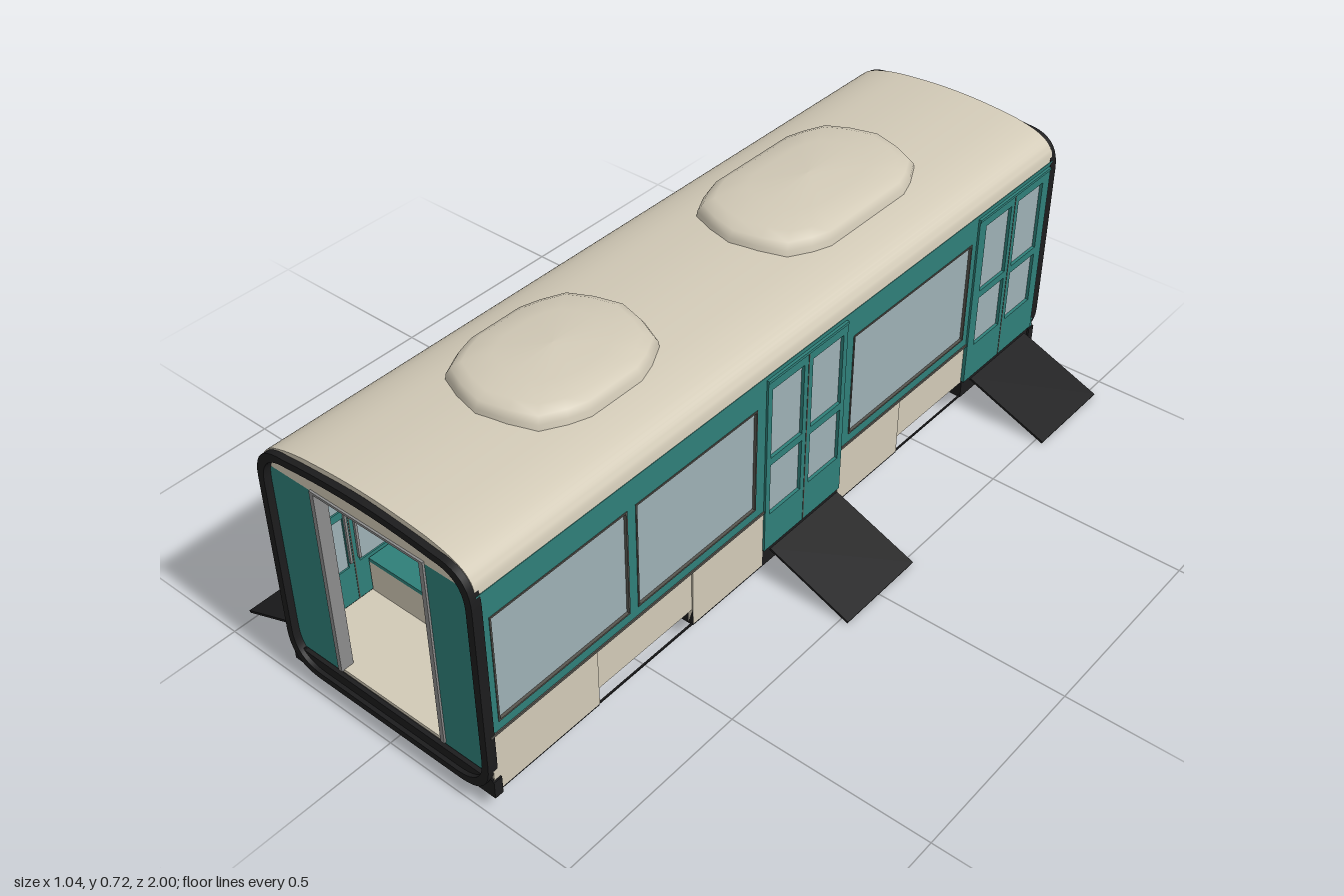
import * as THREE from 'three';
import { toCreasedNormals } from 'three/addons/utils/BufferGeometryUtils.js';

const mat = (color) => new THREE.MeshStandardMaterial({ color, side: THREE.DoubleSide });
const teal = mat(0x2f7f79), beige = mat(0xd2cab7), black = mat(0x1c1c1d), glass = mat(0x9db0b5), grey = mat(0x8c8c8c), dark = mat(0x57554f);
const boxMats = [beige, teal].map((m) => { const c = m.clone(); c.side = THREE.FrontSide; return c; });

function add(parent, name, geometry, material) {
  const mesh = new THREE.Mesh(geometry, material);
  mesh.name = name;
  parent.add(mesh);
  return mesh;
}

// Box given by its limits on each axis
function box(parent, name, material, x0, x1, y0, y1, z0, z1) {
  const mesh = add(parent, name, new THREE.BoxGeometry(x1 - x0, y1 - y0, z1 - z0), material);
  mesh.position.set((x0 + x1) / 2, (y0 + y1) / 2, (z0 + z1) / 2);
  return mesh;
}

// Box without its -z face
function openBox(parent, name, material, ...limits) {
  const mesh = box(parent, name, material, ...limits);
  mesh.geometry.setIndex(Array.from(mesh.geometry.index.array).slice(0, 30));
}

const poly = (points, Type = THREE.Shape) => new Type(points.map(([x, y]) => new THREE.Vector2(x, y)));
const rect = (a, b, c, d) => [[a, c], [b, c], [b, d], [a, d]];

function extrude(shape, depth) {
  const g = new THREE.ExtrudeGeometry(shape, { depth, bevelEnabled: false, curveSegments: 10 });
  return toCreasedNormals(g, 0.6);
}

// Panel in the side plane; outline and holes are given as [z, y]
function sidePanel(parent, name, material, outline, holes, x, depth) {
  const flip = (pts) => pts.map(([z, y]) => [-z, y]);
  const shape = poly(flip(outline));
  shape.holes = holes.map((h) => poly(flip(h), THREE.Path));
  const mesh = add(parent, name, extrude(shape, depth), material);
  mesh.rotation.y = Math.PI / 2;
  mesh.position.x = x;
}

// Smooth roof arch from the left eave to the right eave
function arch(inset) {
  const half = [[0.293, 0.59], [0.286, 0.62], [0.262, 0.645], [0.2, 0.666], [0.1, 0.678]];
  const pts = [...half, [0, 0.682], ...half.map(([x, y]) => [-x, y]).reverse()];
  const curve = new THREE.CatmullRomCurve3(pts.map(([x, y]) =>
    new THREE.Vector3(x - Math.sign(x) * inset, y > 0.6 ? y - inset : y, 0)));
  return curve.getPoints(40).map((p) => [p.x, p.y]);
}

// Rounded end outline with a slightly bowed top
function endOutline(Type, inset) {
  const w = 0.296 - inset, b = 0.055 + inset, t = 0.655 - inset, r = 0.09 - inset / 2;
  const s = new Type();
  s.moveTo(-w + r, b);
  s.lineTo(w - r, b);
  s.quadraticCurveTo(w, b, w, b + r);
  s.lineTo(w, t - r);
  s.quadraticCurveTo(w, t, w - r, t);
  s.quadraticCurveTo(0, t + 0.026, -w + r, t);
  s.quadraticCurveTo(-w, t, -w, t - r);
  s.lineTo(-w, b + r);
  s.quadraticCurveTo(-w, b, -w + r, b);
  return s;
}

// Domed roof pod from shrinking rings
function pod(parent, z0, z1) {
  const len = (z1 - z0) / 2, pos = [], index = [];
  const quarter = [[0, len], [0.07, len - 0.018], [0.13, len - 0.045], [0.158, len - 0.1], [0.174, len - 0.15]];
  const outline = [
    ...quarter, ...quarter.map(([x, z]) => [x, -z]).reverse(),
    ...quarter.slice(1).map(([x, z]) => [-x, -z]), ...quarter.slice(1).map(([x, z]) => [-x, z]).reverse(),
  ];
  const rings = [[1, 0.655], [0.98, 0.692], [0.93, 0.707], [0.82, 0.718], [0.55, 0.725], [0, 0.728]];
  const n = outline.length;
  rings.forEach(([s, y], j) => outline.forEach(([x, z], i) => {
    pos.push(x * s, y - (j ? 0.2 * x * x * s : 0), z * (j < 4 ? 1 - (1 - s) * 0.9 : s));
    if (j === rings.length - 1) return;
    const a = j * n + i, b = j * n + (i + 1) % n;
    index.push(a, b, a + n, b, b + n, a + n);
  }));
  const g = new THREE.BufferGeometry();
  g.setAttribute('position', new THREE.Float32BufferAttribute(pos, 3));
  g.setIndex(index);
  g.computeVertexNormals();
  add(parent, 'roofPod', g, beige).position.z = (z0 + z1) / 2;
}

// One side with its end; the other is the same turned half a circle
function buildHalf() {
  const half = new THREE.Group();
  const doors = [[-0.14, 0.14], [-0.97, -0.66]];
  const windows = [[0.58, 0.96], [0.17, 0.555], [-0.64, -0.17]];

  // Side wall with window openings, notched at the doors
  const wall = [[0.985, 0.22], [0.985, 0.592], [-0.985, 0.592], [-0.985, 0.06], [-0.97, 0.06], [-0.97, 0.575],
    [-0.66, 0.575], [-0.66, 0.22], [-0.14, 0.22], [-0.14, 0.575], [0.14, 0.575], [0.14, 0.22]];
  sidePanel(half, 'sideWall', teal, wall, windows.map(([a, b]) => rect(a, b, 0.245, 0.522)), 0.28, 0.014);
  for (const [a, b] of windows) {
    box(half, 'windowPane', glass, 0.284, 0.289, 0.245, 0.522, a, b);
    sidePanel(half, 'windowFrame', dark, rect(a, b, 0.245, 0.522),
      [rect(a + 0.004, b - 0.004, 0.249, 0.518)], 0.287, 0.009);
  }

  // Double doors with glazed leaves and folding ramps
  for (const [a, b] of doors) {
    const mid = (a + b) / 2;
    const panes = [];
    for (const s of [-1, 1]) {
      const p = [mid + s * 0.015, mid + s * 0.125].sort((u, v) => u - v);
      panes.push(rect(...p, 0.205, 0.345), rect(...p, 0.365, 0.552));
      box(half, 'doorPane', glass, 0.286, 0.291, 0.205, 0.552, ...p);
      box(half, 'doorHandle', grey, 0.274, 0.28, 0.22, 0.45, mid + s * 0.012 - 0.003, mid + s * 0.012 + 0.003);
    }
    sidePanel(half, 'door', teal, rect(a, b, 0.105, 0.575), panes, 0.282, 0.017);
    box(half, 'doorSeam', dark, 0.281, 0.3, 0.105, 0.575, mid - 0.0015, mid + 0.0015);
    box(half, 'doorRail', teal, 0.283, 0.301, 0.575, 0.582, a, b);

    const ramp = box(half, 'ramp', black, -0.119, 0.119, -0.003, 0.003, -0.125, 0.125);
    ramp.position.set(0.41, 0.053, a < -0.5 ? -0.815 : -0.005);
    ramp.rotation.z = -Math.atan2(0.09, 0.22);
  }

  // Lower panels, raised over the running gear
  for (const [a, b, y] of [[0.68, 0.985, 0.06], [0.38, 0.68, 0.1], [0.14, 0.38, 0.06],
    [-0.38, -0.14, 0.06], [-0.66, -0.38, 0.1]]) {
    box(half, 'lowerPanel', beige, 0.28, y > 0.08 ? 0.29 : 0.294, y, 0.216, a, b);
  }
  box(half, 'beltTrim', dark, 0.285, 0.297, 0.215, 0.221, 0.14, 0.985);
  box(half, 'beltTrim', dark, 0.285, 0.297, 0.215, 0.221, -0.66, -0.14);

  // Black sill with gaps over the running gear, bridged by a thin rod
  for (const [a, b] of [[0.68, 0.99], [-0.38, 0.38], [-0.99, -0.66]]) {
    box(half, 'sill', black, 0.262, 0.293, 0.055, 0.1, a, b);
  }
  for (const [a, b] of [[0.38, 0.68], [-0.66, -0.38]]) {
    box(half, 'sillRod', black, 0.288, 0.292, 0.056, 0.06, a, b);
  }

  // End wall, passage frame and rubber gasket
  for (const s of [-1, 1]) {
    const [x0, x1] = [s * 0.15, s * 0.288].sort((u, v) => u - v);
    box(half, 'endWall', teal, x0, x1, 0.1, 0.592, 0.968, 0.982);
    const [j0, j1] = [s * 0.146, s * 0.157].sort((u, v) => u - v);
    box(half, 'passageJamb', grey, j0, j1, 0.105, 0.595, 0.955, 0.987);
  }
  box(half, 'passageLintel', grey, -0.157, 0.157, 0.59, 0.596, 0.955, 0.987);
  add(half, 'endGable', extrude(poly(arch(0.004)), 0.014), beige).position.z = 0.968;
  const ring = endOutline(THREE.Shape, 0);
  ring.holes.push(endOutline(THREE.Path, 0.017));
  add(half, 'endGasket', extrude(ring, 0.025), black).position.z = 0.975;
  box(half, 'endSill', black, -0.298, 0.298, 0.05, 0.096, 0.968, 0.99);

  // Seat block, small table and grab pole by the end passage
  const [beigeSeat, tealSeat] = boxMats;
  openBox(half, 'seatBase', beigeSeat, -0.278, -0.08, 0.105, 0.19, 0.45, 0.78);
  openBox(half, 'seatCushion', tealSeat, -0.278, -0.075, 0.19, 0.2, 0.45, 0.78);
  openBox(half, 'seatBack', beigeSeat, -0.278, -0.075, 0.2, 0.345, 0.47, 0.67);
  openBox(half, 'tableTop', tealSeat, -0.278, -0.08, 0.36, 0.367, 0.44, 0.68);
  openBox(half, 'tablePost', tealSeat, -0.088, -0.082, 0.345, 0.36, 0.56, 0.57);
  box(half, 'grabPole', grey, -0.078, -0.074, 0.45, 0.66, 0.3, 0.304);
  box(half, 'overheadLocker', grey, 0.2, 0.278, 0.545, 0.63, -0.62, 0.95);
  return half;
}

export function createModel() {
  const model = new THREE.Group();
  model.name = 'railCar';

  for (const turn of [0, Math.PI]) {
    const half = buildHalf();
    half.name = turn ? 'rightHalf' : 'leftHalf';
    half.rotation.y = turn;
    model.add(half);
  }

  // Floor and underside
  box(model, 'floor', beige, -0.28, 0.28, 0.1, 0.107, -0.98, 0.98);
  box(model, 'underside', dark, -0.28, 0.28, 0.094, 0.1, -0.98, 0.98);

  // Roof shell and pods
  const shell = poly([...arch(0), ...arch(0.012).reverse()]);
  add(model, 'roof', extrude(shell, 1.97), beige).position.z = -0.985;
  pod(model, -0.67, -0.09);
  pod(model, 0.24, 0.69);
  return model;
}
